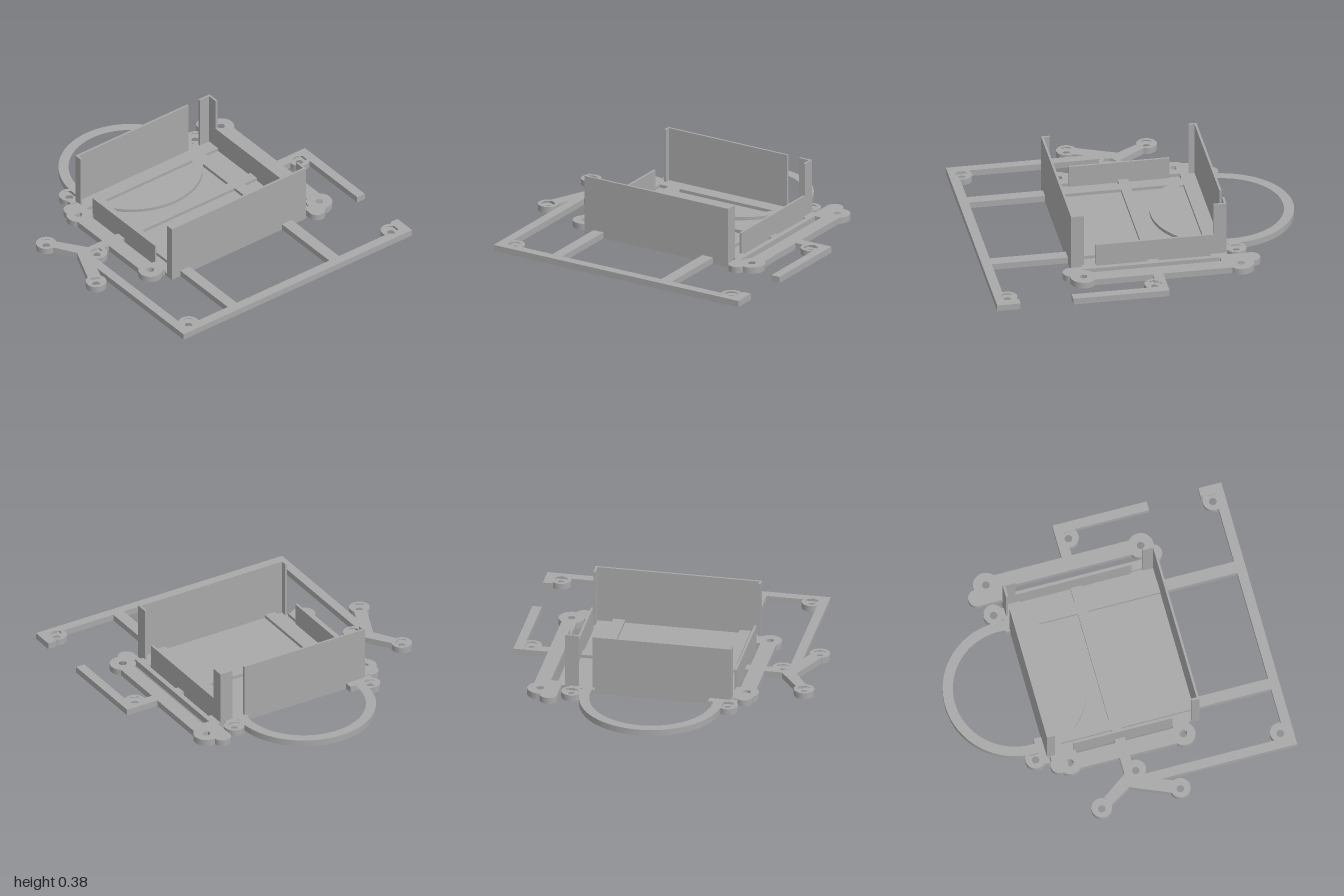
import * as THREE from 'three';

const H = 0.04;      // frame thickness
const FLOOR = 0.02;  // recessed floor thickness
const WALL = 0.014;

export function createModel() {
  const model = new THREE.Group();
  const grey = new THREE.MeshStandardMaterial({ color: 0xa8a8a8 });
  grey.name = 'grey plastic';

  const add = (name, geometry) => {
    const mesh = new THREE.Mesh(geometry, grey);
    mesh.name = name;
    model.add(mesh);
    return mesh;
  };

  // Box given by its limits on each axis
  const box = (name, x0, x1, z0, z1, y0 = 0, y1 = H) => {
    const g = new THREE.BoxGeometry(x1 - x0, y1 - y0, z1 - z0);
    g.translate((x0 + x1) / 2, (y0 + y1) / 2, (z0 + z1) / 2);
    return add(name, g);
  };

  // Plan outlines use (x, z); the shape is laid flat and extruded upward
  const polygon = (pts) => new THREE.Shape(pts.map(([x, z]) => new THREE.Vector2(x, -z)));
  const rect = (x0, x1, z0, z1) => polygon([[x0, z0], [x0, z1], [x1, z1], [x1, z0]]);
  const disc = (x, z, r, sides = 40) => polygon(Array.from({ length: sides }, (_, i) => {
    const a = (i / sides) * Math.PI * 2;
    return [x + r * Math.cos(a), z + r * Math.sin(a)];
  }));
  const plate = (name, shape, holes = [], y0 = 0, y1 = H) => {
    shape.holes.push(...holes);
    const g = new THREE.ExtrudeGeometry(shape, { depth: y1 - y0, bevelEnabled: false });
    g.rotateX(-Math.PI / 2);
    g.translate(0, y0, 0);
    return add(name, g);
  };

  // Screw bosses: round hole below, hexagonal nut pocket above
  const bosses = [
    [0.01, -0.855], [0.92, -0.855], [0.01, 0.7], [0.92, 0.7],
    [-0.56, -0.495], [-0.56, 0.473], [-0.255, 0.885], [0.24, 0.885],
  ];
  for (const [x, z] of bosses) {
    plate('bossBase', disc(x, z, 0.063), [disc(x, z, 0.023, 24)], 0, FLOOR);
    plate('bossNutPocket', disc(x, z, 0.063), [disc(x, z, 0.044, 6)], FLOOR, H);
  }

  // Long upright bars, narrowed where they pass a nut pocket
  for (const [z0, z1, x0] of [
    [-0.955, -0.899, 0.94], [-0.899, -0.811, 0.965], [-0.811, 0.656, 0.94],
    [0.656, 0.744, 0.965], [0.744, 0.8, 0.94],
  ]) box('sideBar', x0, 1, z0, z1);
  for (const [z0, z1, x1] of [
    [-0.955, -0.899, 0], [-0.899, -0.811, -0.034], [-0.811, -0.66, 0],
    [-0.6, 0.656, 0], [0.656, 0.744, -0.034], [0.744, 0.8, 0],
  ]) box('middleBar', -0.065, x1, z0, z1);

  // Cross bars
  box('backBar', -0.065, 0.53, -0.955, -0.897);
  box('backTab', 0.855, 1, -0.955, -0.897);
  box('backCrossBar', -0.52, 0.95, -0.44, -0.365);
  box('frontCrossBar', -0.54, 0.95, 0.345, 0.415);
  box('frontBar', 0, 1, 0.741, 0.8);

  // Forked feet at the front
  plate('leftFork', polygon([[-0.06, 0.8], [0.185, 0.905], [0.215, 0.83], [0.14, 0.8], [0, 0.741]]));
  plate('rightFork', polygon([[-0.065, 0.71], [-0.225, 0.825], [-0.205, 0.89], [-0.06, 0.8], [0, 0.741]]));

  // Ring and the webs tying its bosses to the tray
  plate('ring', disc(-0.56, 0, 0.44, 96), [disc(-0.56, 0, 0.378, 96)]);
  box('ringWeb', -0.512, -0.48, -0.52, -0.4);
  box('ringWeb', -0.512, -0.48, 0.4, 0.52);

  // Back mounting plate with a long slot
  for (const x of [-0.555, 0.42]) {
    plate('backMountEar', disc(x, -0.69, 0.08), [disc(x, -0.69, 0.023, 24)]);
  }
  for (const x of [-0.63, 0.482]) plate('backMountLobe', disc(x, -0.624, 0.054));
  box('backMountBeam', -0.53, 0.395, -0.74, -0.647);
  box('backMountStrip', -0.63, 0.482, -0.602, -0.571);
  box('backMountEnd', -0.63, -0.44, -0.662, -0.571);
  box('backMountEnd', 0.42, 0.482, -0.662, -0.571);
  for (const [x0, x1] of [[-0.49, -0.385], [0.32, 0.41]]) {
    box('backMountLink', x0, x1, -0.575, -0.545);
  }

  // Front mounting plate
  const earX = [-0.365, 0.35];
  plate('frontMountBeam', rect(-0.43, 0.38, 0.503, 0.602), earX.map((x) => disc(x, 0.553, 0.023, 24)));
  for (const x of earX) {
    plate('frontMountEar', disc(x, 0.553, 0.074), [disc(x, 0.553, 0.023, 24)]);
  }
  plate('frontMountLobe', disc(-0.43, 0.548, 0.055));
  box('frontMountLink', -0.47, -0.31, 0.475, 0.51);
  box('frontMountLink', 0.3, 0.4, 0.475, 0.51);

  // Tray floor with a raised strip along one edge
  box('trayFloor', -0.49, 0.47, -0.55, 0.48, 0, FLOOR);
  box('trayRaisedStrip', -0.49, -0.385, -0.55, 0.48);

  // Tall side walls; the right one is interrupted near its back corner
  const TOP = 0.38;
  box('leftWall', 0.47 - WALL, 0.47, -0.55, 0.48, FLOOR, TOP);
  box('rightWall', -0.49, -0.49 + WALL, -0.38, 0.48, FLOOR, TOP);
  box('rightBackPost', -0.49, -0.49 + WALL, -0.55, -0.465, FLOOR, TOP);

  // Corner lips
  for (const [x0, x1, z] of [
    [-0.49, -0.41, -0.55], [0.39, 0.47, -0.55],
    [-0.49, -0.44, 0.48 - WALL], [0.42, 0.47, 0.48 - WALL],
  ]) box('cornerLip', x0, x1, z, z + WALL, FLOOR, TOP);

  // Low end walls
  box('backWall', -0.41, 0.32, -0.55, -0.55 + WALL, FLOOR, 0.172);
  box('frontWall', -0.32, 0.3, 0.48 - WALL, 0.48, FLOOR, 0.158);

  return model;
}
